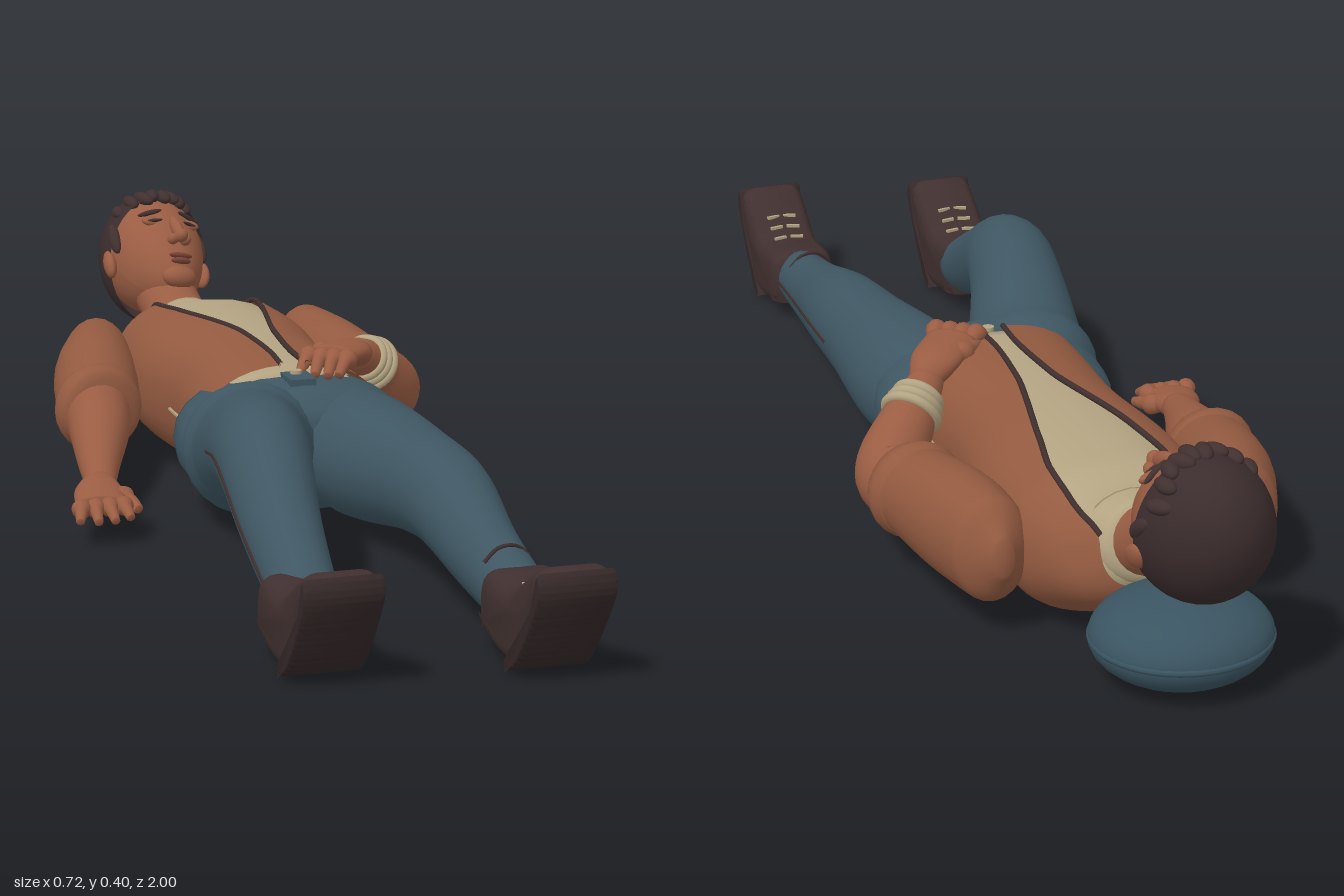
import * as THREE from 'three';
import { mergeVertices, toCreasedNormals } from 'three/addons/utils/BufferGeometryUtils.js';

const V = (x, y, z) => new THREE.Vector3(x, y, z);
const paint = (name, color, double) => {
  const m = new THREE.MeshStandardMaterial({ color });
  m.name = name;
  if (double) m.side = THREE.DoubleSide;
  return m;
};

export function createModel() {
  const skin = paint('skin', 0x9a5d43), jacket = paint('jacket', 0x935a40, true);
  const denim = paint('denim', 0x3f5763), cream = paint('cream', 0xb3a482);
  const dark = paint('darkBrown', 0x40302f), lip = paint('lips', 0x7c4536);
  const sole = paint('sole', 0x352828), pillowMat = paint('pillow', 0x3a5461);
  const root = new THREE.Group();
  root.name = 'recliningMan';

  const add = (name, geo, mat, parent = root) => {
    const mesh = new THREE.Mesh(geo, mat);
    mesh.name = name;
    parent.add(mesh);
    return mesh;
  };

  // Elliptical sweep through keys [x, y, z, halfWidth, halfHeight]; gap = [left x, right x] leaves the top open
  function sweep(keys, { rows = 24, n = 24, e = 1, gaps = null, cap = true } = {}) {
    const path = new THREE.CatmullRomCurve3(keys.map(k => V(k[0], k[1], k[2])));
    const size = new THREE.CatmullRomCurve3(keys.map(k => V(k[3], k[4], 0)));
    const gap = gaps && new THREE.CatmullRomCurve3(gaps.map(g => V(g[0], g[1], 0)));
    const pos = [], idx = [], edges = [[], []], up = V(0, 1, 0);
    const pow = v => Math.sign(v) * Math.abs(v) ** e;
    const angle = u => Math.sign(u) * Math.asin(Math.min(1, Math.abs(u)) ** (1 / e));
    const ts = Array.from({ length: rows + 1 }, (_, i) => [i / rows, 1]);
    if (cap) {
      ts.unshift([0, 0], [0, 0.8]);
      ts.push([1, 0.8], [1, 0]);
    }
    ts.forEach(([t, f], i) => {
      const c = path.getPoint(t), s = size.getPoint(t), dir = path.getTangent(t);
      const side = up.clone().cross(dir).normalize(), nor = dir.clone().cross(side);
      // slightly domed ends
      if (cap && i < 2) c.addScaledVector(dir, -s.y * (f ? 0.12 : 0.25));
      if (cap && i > ts.length - 3) c.addScaledVector(dir, s.y * (f ? 0.12 : 0.25));
      let a = -Math.PI, b = Math.PI;
      if (gap) {
        const g = gap.getPoint(t);
        a = angle((g.y - c.x) / s.x);
        b = 2 * Math.PI + angle((g.x - c.x) / s.x);
      }
      for (let j = 0; j <= n; j++) {
        const q = a + (b - a) * j / n;
        const p = c.clone().addScaledVector(side, pow(Math.sin(q)) * s.x * f).addScaledVector(nor, pow(Math.cos(q)) * s.y * f);
        pos.push(p.x, p.y, p.z);
        if (j === 0) edges[0].push(p);
        if (j === n) edges[1].push(p);
        if (i < ts.length - 1 && j < n) {
          const k = i * (n + 1) + j, m = k + n + 1;
          idx.push(k, m, k + 1, k + 1, m, m + 1);
        }
      }
    });
    let geo = new THREE.BufferGeometry();
    geo.setAttribute('position', new THREE.Float32BufferAttribute(pos, 3));
    geo.setIndex(idx);
    geo = mergeVertices(geo, 1e-5);
    geo.computeVertexNormals();
    geo.userData.edges = edges;
    return geo;
  }
  const tube = (pts, r) => new THREE.TubeGeometry(new THREE.CatmullRomCurve3(pts), 32, r, 6);
  const ball = (name, mat, p, s, parent) => {
    const m = add(name, new THREE.SphereGeometry(1, 32, 20), mat, parent);
    m.position.set(...p);
    m.scale.set(...s);
    return m;
  };

  // Pillow with a piped seam
  ball('pillow', pillowMat, [0.02, 0.076, -0.81], [0.14, 0.07, 0.13]);
  const piping = add('pillowSeam', new THREE.TorusGeometry(0.135, 0.006, 8, 48), pillowMat);
  piping.rotation.x = Math.PI / 2;
  piping.position.set(0.02, 0.076, -0.81);
  piping.scale.y = 0.94;

  // Shirt and open jacket share one torso profile
  const torso = [[0.035, 0.165, -0.69, 0.07, 0.06], [0.04, 0.15, -0.65, 0.13, 0.095], [0.04, 0.14, -0.58, 0.17, 0.125],
    [0.04, 0.138, -0.45, 0.175, 0.13], [0.04, 0.137, -0.25, 0.152, 0.13], [0.04, 0.135, -0.1, 0.16, 0.128], [0.04, 0.133, -0.02, 0.165, 0.127]];
  const gaps = [[-0.03, 0.1], [-0.045, 0.125], [-0.05, 0.135], [-0.03, 0.115], [0.018, 0.075], [0.025, 0.062], [0.02, 0.066]];
  add('shirt', sweep(torso.map(k => [k[0], k[1], k[2], k[3] - 0.009, k[4] - 0.009]), { e: 0.85 }), cream);
  const coat = sweep(torso, { e: 0.85, gaps, cap: false, n: 40, rows: 32 });
  add('jacketBody', coat, jacket);
  coat.userData.edges.forEach(pts => add('jacketEdge', tube(pts, 0.005), dark));
  add('shirtCollar', sweep([[0.035, 0.165, -0.66, 0.09, 0.075], [0.033, 0.178, -0.7, 0.066, 0.062]], { rows: 4 }), cream);
  for (const s of [-1, 1]) {
    const pocket = add('pocketStitch', new THREE.BoxGeometry(0.004, 0.004, 0.14), cream);
    pocket.position.set(0.04 + s * 0.157, 0.14, -0.17);
  }

  // Jeans
  add('jeansHips', sweep([[0.04, 0.13, -0.09, 0.19, 0.107], [0.04, 0.13, -0.02, 0.2, 0.112], [0.04, 0.128, 0.05, 0.185, 0.108],
    [0.04, 0.125, 0.09, 0.12, 0.08]], { e: 0.9 }), denim);
  const fly = add('fly', new THREE.BoxGeometry(0.045, 0.02, 0.07), denim);
  fly.position.set(0.04, 0.238, 0.01);
  const button = add('jeansButton', new THREE.CylinderGeometry(0.01, 0.01, 0.006, 16), cream);
  button.position.set(0.04, 0.251, 0.0);
  const legs = {
    left: [[0.12, 0.125, -0.02, 0.1, 0.1], [0.132, 0.125, 0.1, 0.107, 0.105], [0.155, 0.135, 0.3, 0.082, 0.086],
      [0.162, 0.133, 0.42, 0.073, 0.078], [0.155, 0.1, 0.6, 0.056, 0.064], [0.148, 0.078, 0.77, 0.048, 0.05]],
    right: [[-0.04, 0.125, -0.02, 0.1, 0.1], [-0.065, 0.15, 0.1, 0.1, 0.1], [-0.108, 0.2, 0.27, 0.083, 0.087],
      [-0.13, 0.213, 0.38, 0.076, 0.082], [-0.152, 0.15, 0.55, 0.062, 0.07], [-0.163, 0.08, 0.72, 0.05, 0.052]]
  };
  for (const [name, keys] of Object.entries(legs)) {
    const s = name === 'left' ? 1 : -1;
    add(name + 'JeansLeg', sweep(keys, { rows: 36 }), denim);
    add(name + 'LegSeam', tube(keys.slice(2).map(k => V(k[0] + s * k[3], k[1], k[2])), 0.003), dark);
    const k = keys[5];
    add(name + 'ShinCrease', tube([-0.9, -0.3, 0.3, 0.9].map(a =>
      V(k[0] + 0.051 * Math.sin(a), k[1] + 0.012 + 0.054 * Math.cos(a), k[2] - 0.055 - a * 0.012)), 0.003), dark);
  }

  // Shoes: bevelled side profiles with toes pointing up
  const slab = (pts, width, bevel) => {
    const shape = new THREE.Shape();
    shape.moveTo(...pts[0]);
    shape.splineThru(pts.slice(1).concat([pts[0]]).map(p => new THREE.Vector2(...p)));
    const g = new THREE.ExtrudeGeometry(shape, { depth: width - 2 * bevel, bevelThickness: bevel, bevelSize: bevel,
      bevelOffset: -bevel, bevelSegments: 5, curveSegments: 40 });
    g.translate(0, 0, bevel - width / 2).rotateY(-Math.PI / 2);
    return toCreasedNormals(g, 0.8);
  };
  const upper = [[0.75, 0.035], [0.81, 0.017], [0.875, 0.013], [0.91, 0.03], [0.955, 0.09], [0.995, 0.155], [0.99, 0.182],
    [0.965, 0.187], [0.91, 0.155], [0.86, 0.126], [0.77, 0.127], [0.745, 0.09]];
  const bottom = [[0.868, 0.01], [0.893, 0.012], [0.92, 0.033], [0.965, 0.092], [1.0, 0.15], [0.997, 0.18], [0.982, 0.178], [0.95, 0.1], [0.905, 0.04]];
  for (const [name, x, dz] of [['left', 0.148, 0], ['right', -0.174, -0.068]]) {
    const shoe = new THREE.Group();
    shoe.name = name + 'Shoe';
    shoe.position.set(x, 0, dz);
    root.add(shoe);
    add('shoeUpper', slab(upper, 0.118, 0.028), dark, shoe);
    add('shoeSole', slab(bottom, 0.122, 0.009), sole, shoe);
    for (let i = 0; i < 3; i++) for (const s of [-1, 1]) {
      const lace = add('lace', new THREE.BoxGeometry(0.024, 0.005, 0.006), cream, shoe);
      lace.position.set(s * 0.016, 0.127 + i * 0.0125, 0.855 + i * 0.025);
      lace.rotation.y = s * 0.25;
    }
  }

  // Sleeves with rolled cuffs
  const sleeves = {
    left: [[0.235, 0.15, -0.635, 0.02, 0.035], [0.237, 0.146, -0.59, 0.062, 0.085], [0.25, 0.143, -0.48, 0.074, 0.088], [0.276, 0.14, -0.34, 0.071, 0.073]],
    right: [[-0.158, 0.15, -0.635, 0.02, 0.035], [-0.163, 0.146, -0.59, 0.062, 0.085], [-0.19, 0.14, -0.48, 0.076, 0.088], [-0.22, 0.125, -0.34, 0.073, 0.073]]
  };
  for (const [name, keys] of Object.entries(sleeves)) {
    add(name + 'Sleeve', sweep(keys), jacket);
    const [x, y] = keys[3];
    add(name + 'Cuff', sweep([[x - 0.003, y, -0.365, 0.072, 0.072], [x, y, -0.34, 0.08, 0.08], [x + 0.003, y, -0.315, 0.072, 0.072]], { rows: 10 }), jacket);
  }

  // Forearms and hands
  add('rightForearm', sweep([[-0.22, 0.122, -0.35, 0.058, 0.06], [-0.24, 0.11, -0.25, 0.053, 0.053],
    [-0.272, 0.088, -0.12, 0.037, 0.036], [-0.292, 0.075, -0.03, 0.026, 0.023]]), skin);
  add('rightPalm', sweep([[-0.292, 0.075, -0.04, 0.026, 0.022], [-0.302, 0.068, 0.0, 0.041, 0.022], [-0.31, 0.062, 0.05, 0.043, 0.016]]), skin);
  add('leftForearm', sweep([[0.272, 0.138, -0.35, 0.06, 0.062], [0.295, 0.14, -0.27, 0.058, 0.062],
    [0.25, 0.195, -0.21, 0.046, 0.046], [0.195, 0.24, -0.15, 0.028, 0.027]]), skin);
  add('leftPalm', sweep([[0.2, 0.238, -0.15, 0.026, 0.024], [0.165, 0.254, -0.105, 0.042, 0.022], [0.12, 0.262, -0.05, 0.043, 0.018]]), skin);
  const finger = (name, a, b, c, r) => add(name, sweep([[...a, r, r], [...b, r, r], [...c, r * 0.7, r * 0.7]], { rows: 10, n: 12 }), skin);
  for (let i = 0; i < 4; i++) {
    const u = i / 3 - 0.5, reach = 0.014 * Math.cos(u * 3);
    finger('rightFinger', [-0.31 + u * 0.064, 0.062, 0.045], [-0.313 + u * 0.075, 0.06, 0.078], [-0.315 + u * 0.085, 0.05, 0.1 + reach], 0.0105);
    finger('leftFinger', [0.12 + u * 0.052, 0.262, -0.05 + u * 0.042], [0.098 + u * 0.056, 0.262, -0.018 + u * 0.04],
      [0.08 + u * 0.056, 0.245, 0.003 + reach + u * 0.04], 0.0115);
  }
  finger('rightThumb', [-0.28, 0.066, 0.0], [-0.258, 0.06, 0.03], [-0.25, 0.052, 0.062], 0.012);
  finger('leftThumb', [0.14, 0.255, -0.11], [0.105, 0.258, -0.092], [0.08, 0.255, -0.065], 0.012);

  // Wrist bands
  const armDir = V(-0.055, 0.047, 0.06).normalize();
  for (let i = 0; i < 3; i++) {
    const band = add('wristBand', new THREE.TorusGeometry(0.043 - i * 0.004, 0.0085, 10, 32), cream);
    band.position.copy(V(0.238, 0.206, -0.197).addScaledVector(armDir, i * 0.016));
    band.quaternion.setFromUnitVectors(V(0, 0, 1), armDir);
  }

  // Neck and head, tipped back on the pillow and turned slightly to its left
  add('neck', sweep([[0.034, 0.165, -0.66, 0.062, 0.055], [0.028, 0.195, -0.74, 0.056, 0.055], [0.02, 0.24, -0.83, 0.06, 0.06]]), skin);
  const head = new THREE.Group();
  head.name = 'head';
  head.position.set(0.018, 0.275, -0.868);
  head.rotation.order = 'XYZ';
  head.rotation.set(-0.9, 0.25, 0);
  root.add(head);
  const skull = new THREE.SphereGeometry(1, 40, 28), sp = skull.attributes.position;
  for (let i = 0; i < sp.count; i++) {
    const y = sp.getY(i), low = Math.max(0, -y);
    sp.setXYZ(i, sp.getX(i) * 0.095 * (1 - 0.14 * low), y * 0.132, sp.getZ(i) * 0.104 + 0.036 * low * low);
  }
  skull.computeVertexNormals();
  add('face', skull, skin, head);
  const front = (x, y) => {
    const low = Math.max(0, -y / 0.132);
    return 0.104 * Math.sqrt(Math.max(0, 1 - (x / 0.095) ** 2 - (y / 0.132) ** 2)) + 0.036 * low * low;
  };
  const hair = new THREE.SphereGeometry(1, 40, 24, 0, Math.PI * 2, 0, 1.76);
  hair.rotateX(-0.8).scale(0.102, 0.134, 0.113);
  add('hairCap', hair, paint('hair', 0x3b2c2d, true), head);
  for (let i = 0; i < 9; i++) {
    const x = (i - 4) * 0.0185, y = 0.079 - 0.00045 * (i - 4) ** 2 + (i % 2) * 0.006;
    const lock = ball('fringeLock', dark, [x, y, front(x, y) + 0.008], [0.013, 0.025, 0.012], head);
    lock.rotation.set(-0.6, 0, (i % 3 - 1) * 0.3);
  }
  for (const s of [-1, 1]) {
    const x = s * 0.04;
    ball('ear', skin, [s * 0.097, -0.028, 0.0], [0.012, 0.03, 0.02], head).rotation.y = s * 0.3;
    ball('sideburn', dark, [s * 0.091, 0.012, 0.03], [0.011, 0.035, 0.014], head);
    ball('eyelid', skin, [x, 0.011, front(x, 0.011) - 0.002], [0.02, 0.011, 0.008], head);
    ball('eyeLine', dark, [x, 0.007, front(x, 0.007) + 0.004], [0.019, 0.0032, 0.004], head).rotation.y = s * 0.35;
    const brow = ball('brow', dark, [x, 0.031, front(x, 0.031) + 0.002], [0.024, 0.005, 0.005], head);
    brow.rotation.set(0, s * 0.4, -s * 0.12);
    ball('nostrilWing', skin, [s * 0.013, -0.043, front(0, -0.043) + 0.006], [0.011, 0.01, 0.012], head);
  }
  const bridge = ball('noseBridge', skin, [0, -0.016, front(0, -0.016) + 0.006], [0.011, 0.036, 0.013], head);
  bridge.rotation.x = -0.25;
  ball('noseTip', skin, [0, -0.042, front(0, -0.042) + 0.016], [0.013, 0.012, 0.014], head);
  ball('upperLip', lip, [0, -0.075, front(0, -0.075) + 0.001], [0.024, 0.005, 0.007], head);
  ball('lowerLip', lip, [0, -0.085, front(0, -0.085)], [0.02, 0.006, 0.008], head);
  ball('chin', skin, [0, -0.108, front(0, -0.108) - 0.01], [0.034, 0.022, 0.022], head);
  return root;
}
